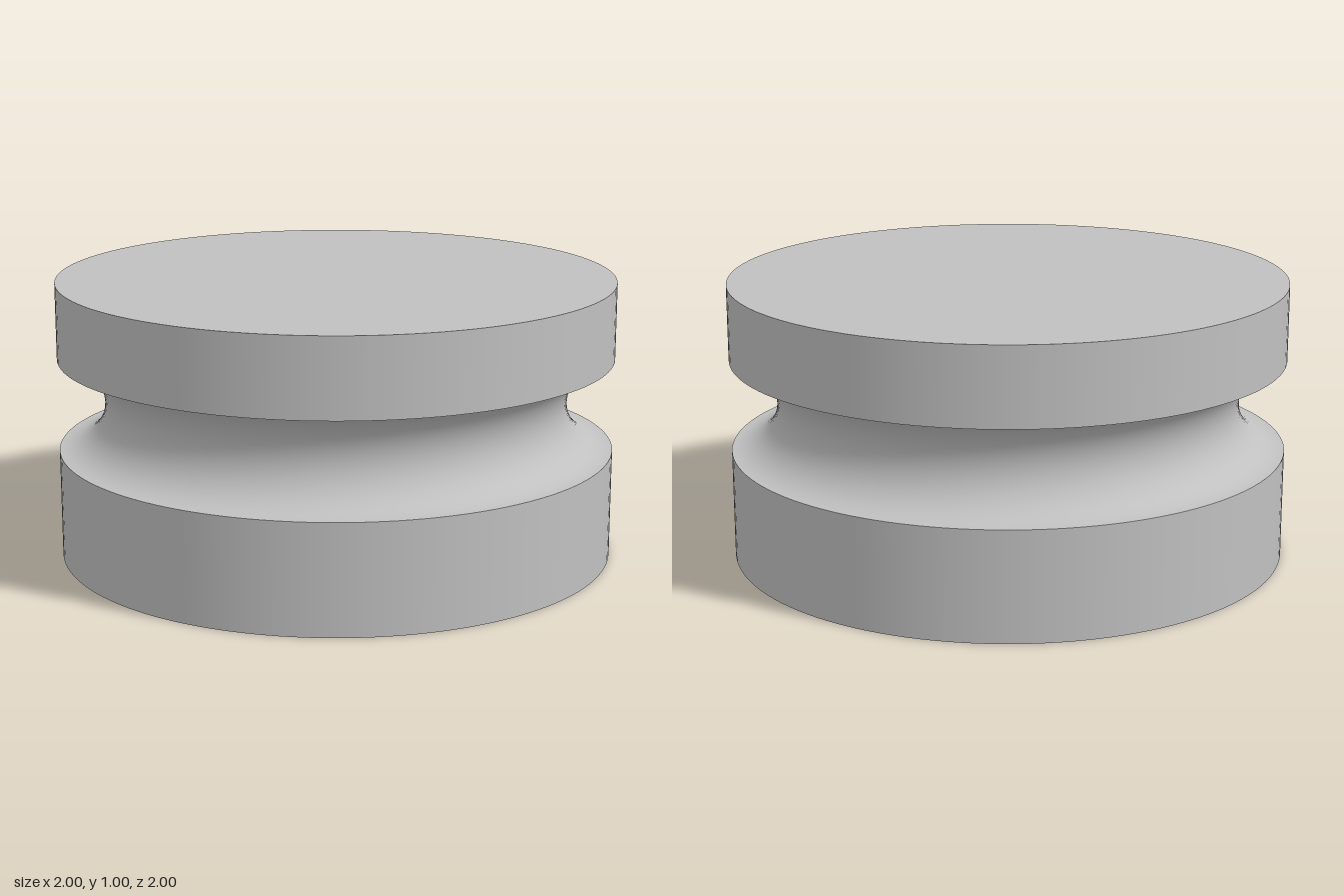
import * as THREE from 'three';

const RADIUS = 1, HEIGHT = 1, SEGMENTS = 128;
const GROOVE_Y = 0.558, GROOVE_RADIUS = 0.167;

export function createModel() {
  const group = new THREE.Group();
  group.name = 'groovedWheel';
  const grey = new THREE.MeshStandardMaterial({ color: 0xc0c0c0 });
  grey.name = 'plain grey';

  const add = (name, geometry) => {
    const mesh = new THREE.Mesh(geometry, grey);
    mesh.name = name;
    group.add(mesh);
    return mesh;
  };
  // Each band is its own lathe, so the rims between them stay sharp
  const band = (name, points) => add(name, new THREE.LatheGeometry(points, SEGMENTS));
  const wall = (name, y0, y1) =>
    band(name, [new THREE.Vector2(RADIUS, y0), new THREE.Vector2(RADIUS, y1)]);

  // Straight outer walls below and above the groove
  wall('lowerRim', 0, GROOVE_Y - GROOVE_RADIUS);
  wall('upperRim', GROOVE_Y + GROOVE_RADIUS, HEIGHT);

  // Half-round groove cut into the side
  const groove = [];
  for (let i = 0; i <= 32; i++) {
    const a = -Math.PI / 2 + (Math.PI * i) / 32;
    groove.push(new THREE.Vector2(
      RADIUS - GROOVE_RADIUS * Math.cos(a),
      GROOVE_Y + GROOVE_RADIUS * Math.sin(a)));
  }
  band('groove', groove);

  // Flat end faces
  const top = add('topFace', new THREE.CircleGeometry(RADIUS, SEGMENTS));
  top.rotation.x = -Math.PI / 2;
  top.position.y = HEIGHT;
  const bottom = add('bottomFace', new THREE.CircleGeometry(RADIUS, SEGMENTS));
  bottom.rotation.x = Math.PI / 2;

  return group;
}
